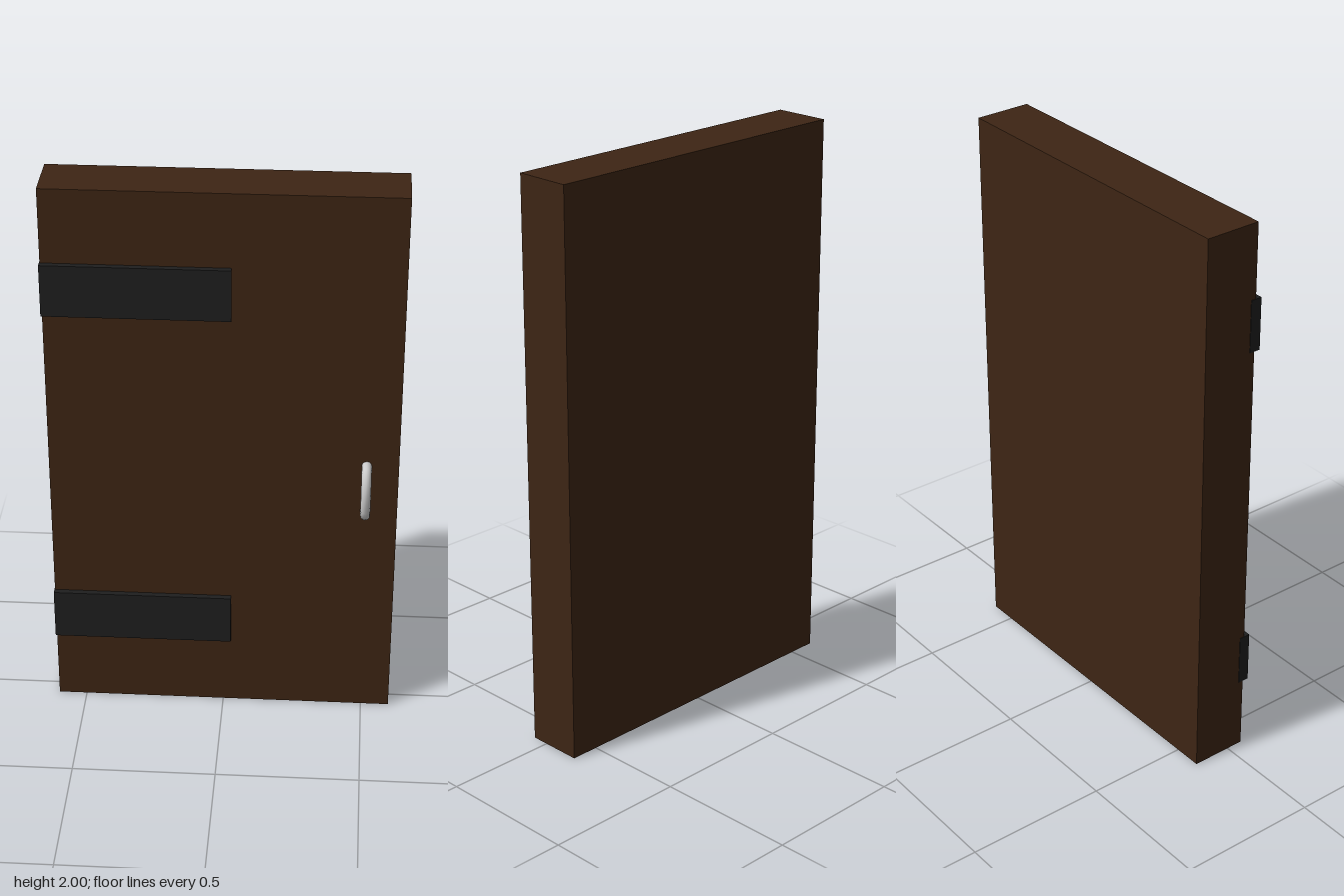
import * as THREE from 'three';

// Path through given points, with one tube ring at each point and mitred bends
class BentPath extends THREE.Curve {
  constructor(points) {
    super();
    this.points = points;
  }
  getPoint(t, target = new THREE.Vector3()) {
    const f = t * (this.points.length - 1);
    const i = Math.min(Math.floor(f), this.points.length - 2);
    return target.lerpVectors(this.points[i], this.points[i + 1], f - i);
  }
  getPointAt(t, target) {
    return this.getPoint(t, target);
  }
  getTangentAt(t, target = new THREE.Vector3()) {
    const p = this.points, i = Math.round(t * (p.length - 1));
    const dir = (a, b) => new THREE.Vector3().subVectors(b, a).normalize();
    target.set(0, 0, 0);
    if (i > 0) target.add(dir(p[i - 1], p[i]));
    if (i < p.length - 1) target.add(dir(p[i], p[i + 1]));
    return target.normalize();
  }
}

export function createModel() {
  const door = new THREE.Group();
  door.name = 'door';
  const wood = new THREE.MeshStandardMaterial({ color: 0x3d2514 });
  const iron = new THREE.MeshStandardMaterial({ color: 0x1e1e1e });
  const metal = new THREE.MeshStandardMaterial({ color: 0xcccccc });

  const add = (name, geometry, material, x, y, z) => {
    const mesh = new THREE.Mesh(geometry, material);
    mesh.name = name;
    mesh.position.set(x, y, z);
    door.add(mesh);
  };

  // Door slab
  add('doorPanel', new THREE.BoxGeometry(1.2, 2, 0.2), wood, 0, 1, -0.04);

  // Hinge straps, sunk slightly into the front of the slab
  const strap = new THREE.BoxGeometry(0.63, 0.185, 0.04);
  add('upperHingeStrap', strap, iron, -0.287, 1.645, 0.061);
  add('lowerHingeStrap', strap, iron, -0.287, 0.36, 0.061);

  // Pull handle: bent rod, symmetric above and below its middle
  const half = [[0.0875, 0.045], [0.0875, 0.099], [0.052, 0.124]];
  const profile = [...half, ...half.slice().reverse().map(([y, z]) => [-y, z])];
  const path = new BentPath(profile.map(([y, z]) => new THREE.Vector3(0, y, z)));
  add('pullHandle', new THREE.TubeGeometry(path, profile.length - 1, 0.017, 12), metal, 0.49, 0.92, 0);

  return door;
}
